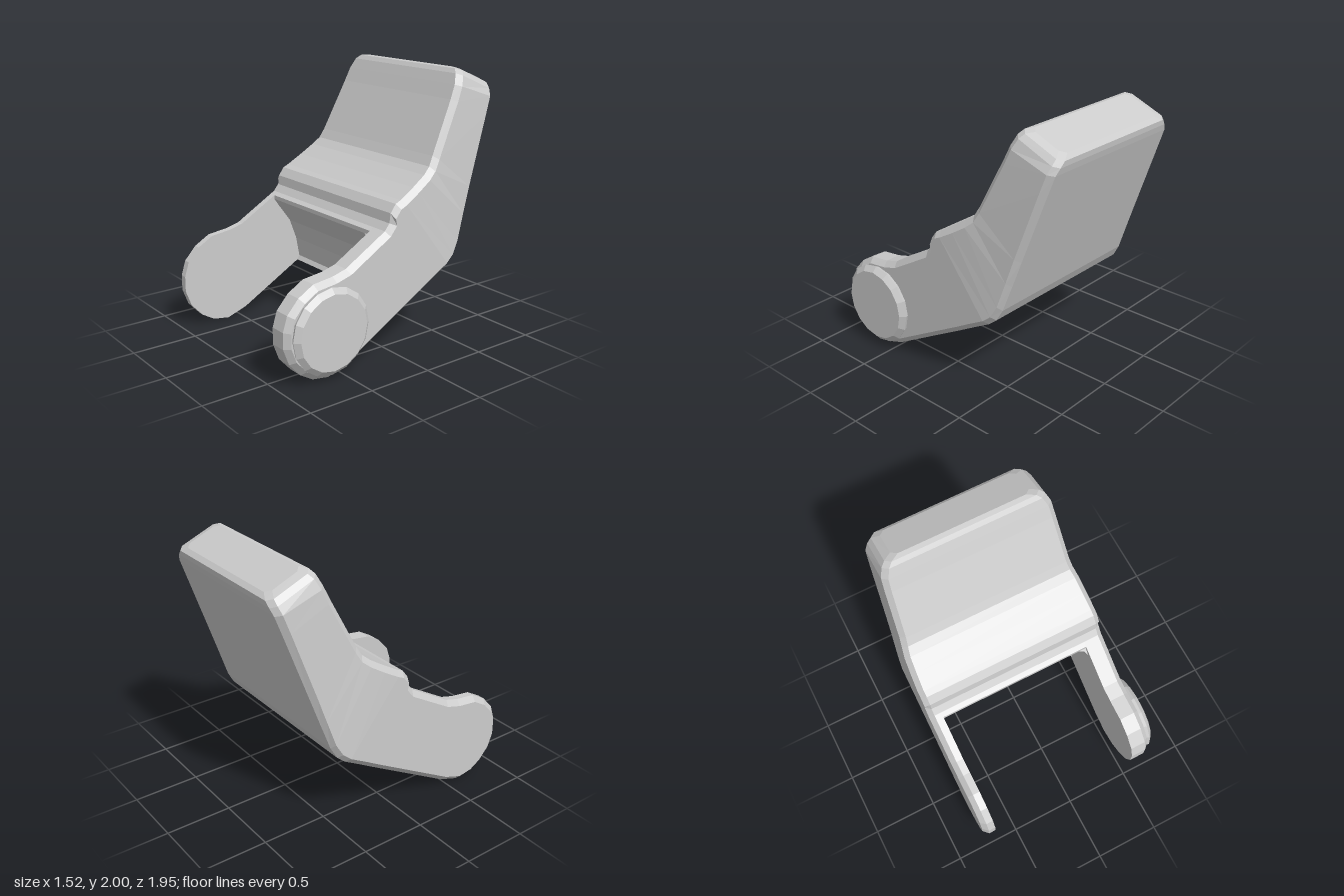
import * as THREE from 'three';

const material = new THREE.MeshStandardMaterial({ color: 0xcccccc, flatShading: true });
const CHAMFER = 0.04;
const CENTRE_X = -0.03;
const RIGHT = [-0.76, -0.665]; // thin arm: outer and inner x
const LEFT = [0.70, 0.54];     // thick arm: outer and inner x
const AXLE = [0.625, 0.36];    // z, y

// Closed solid through rings of [x, y, z]; u, v pick the axes used to fill the ends
function loft(name, rings, u, v) {
  const n = rings[0].length;
  const points = rings.flat();
  const tris = [];
  for (let r = 0; r < rings.length - 1; r++) {
    for (let j = 0; j < n; j++) {
      const a = r * n + j, b = r * n + (j + 1) % n;
      tris.push([a, b, b + n], [a, b + n, a + n]);
    }
  }
  const area = (p) => THREE.ShapeUtils.area(p);
  for (const r of [0, rings.length - 1]) {
    const flat = rings[r].map((p) => new THREE.Vector2(p[u], p[v]));
    for (const t of THREE.ShapeUtils.triangulateShape(flat, [])) {
      const same = area(t.map((i) => flat[i])) * area(flat) > 0;
      const tri = t.map((i) => i + r * n);
      tris.push(same === (r > 0) ? tri : tri.reverse());
    }
  }
  // turn the faces outward
  const V = points.map((p) => new THREE.Vector3(...p));
  let volume = 0;
  for (const [a, b, c] of tris) volume += V[a].dot(V[b].clone().cross(V[c]));
  if (volume < 0) tris.forEach((t) => t.reverse());
  const geo = new THREE.BufferGeometry();
  geo.setAttribute('position', new THREE.Float32BufferAttribute(points.flat(), 3));
  geo.setIndex(tris.flat());
  const flatGeo = geo.toNonIndexed();
  flatGeo.computeVertexNormals();
  const mesh = new THREE.Mesh(flatGeo, material);
  mesh.name = name;
  return mesh;
}

// Outline shrunk inward; its two ends slide along the joint with the panel
function inset(outline, c) {
  const last = outline.length - 1;
  return outline.map(([z, y], i) => {
    let d;
    if (i === 0 || i === last) {
      const e = outline[last - i];
      d = [e[0] - z, e[1] - y];
    } else {
      const p = outline[i - 1], q = outline[i + 1];
      d = [q[1] - p[1], p[0] - q[0]];
    }
    const l = Math.hypot(...d);
    return [z + d[0] / l * c, y + d[1] / l * c];
  });
}

const atX = (outline, x) => outline.map(([z, y]) => [x, y, z]);

export function createModel() {
  const group = new THREE.Group();

  // Bent panel: back z, y, front z, y and half width, from the top down
  const stations = [
    [-0.94, 1.89, -0.68, 2.0, 0.52],
    [-0.97, 1.86, -0.645, 1.995, 0.58],
    [-0.965, 1.82, -0.62, 1.965, 0.615],
    [-0.95, 1.77, -0.585, 1.89, 0.645],
    [-0.9, 1.63, -0.54, 1.79, 0.655],
    [-0.72, 1.12, -0.35, 1.41, 0.685],
    [-0.65, 0.92, -0.31, 1.34, 0.697],
    [-0.58, 0.72, -0.25, 1.29, 0.712],
    [-0.53, 0.63, -0.14, 1.22, 0.722],
    [-0.47, 0.58, -0.02, 1.15, 0.73],
    [-0.32, 0.495, 0.025, 1.13, 0.73],
    [-0.2, 0.425, 0.07, 1.07, 0.73],
  ];
  group.add(loft('panel', stations.map(([bz, by, tz, ty, w]) => {
    const l = Math.hypot(tz - bz, ty - by);
    const dz = (tz - bz) / l * CHAMFER, dy = (ty - by) / l * CHAMFER;
    const half = [
      [w, by + dy, bz + dz], [w, ty - dy, tz - dz], [w - CHAMFER, ty, tz],
    ];
    const ring = [[w - CHAMFER, by, bz], ...half];
    const mirrored = ring.map(([x, y, z]) => [-x, y, z]).reverse();
    return [...ring, ...mirrored].map(([x, y, z]) => [x + CENTRE_X, y, z]);
  }), 0, 1));

  // Arms: side outline with a rounded end, chamfered on the outside
  const arm = [
    [0.07, 1.07], [0.08, 1.0], [0.12, 0.95], [0.46, 0.75], [0.57, 0.72], [0.73, 0.7],
    [0.85, 0.63], [0.94, 0.53], [0.975, 0.42], [0.975, 0.3], [0.93, 0.18], [0.84, 0.08],
    [0.74, 0.02], [0.61, 0.0], [0.45, 0.055], [-0.2, 0.425],
  ];
  for (const [name, [outer, inner]] of [['rightArm', RIGHT], ['leftArm', LEFT]]) {
    const edge = outer - Math.sign(outer) * CHAMFER;
    group.add(loft(name, [
      atX(arm, inner), atX(arm, edge), atX(inset(arm, CHAMFER), outer),
    ], 2, 1));
  }

  // Hollow wall between the arms
  const hollow = [
    [0.155, 0.9], [0.11, 0.835], [0.01, 0.7], [-0.05, 0.54], [-0.08, 0.38], [-0.06, 0.346],
  ];
  const bridge = [[0.07, 1.07], [0.08, 1.0], [0.12, 0.95], [0.155, 0.93], ...hollow, [-0.2, 0.425]];
  group.add(loft('bridge', [atX(bridge, RIGHT[1]), atX(bridge, LEFT[1])], 2, 1));

  // Fillet where the thick arm meets the wall
  group.add(loft('armFillet', hollow.map(([z, y]) => {
    const dz = AXLE[0] - z, dy = AXLE[1] - y, k = 0.07 / Math.hypot(dz, dy);
    const x = LEFT[1];
    return [[x - 0.06, y, z], [x, y, z], [x, y + dy * k, z + dz * k],
      [x - 0.02, y + dy * k * 0.3, z + dz * k * 0.3]];
  }), 0, 2));

  // Hinge cap on the thick arm
  const profile = [[0, 0], [0.3, 0], [0.315, 0.035], [0.275, 0.07], [0, 0.07]];
  const cap = new THREE.Mesh(
    new THREE.LatheGeometry(profile.map((p) => new THREE.Vector2(...p)), 16), material);
  cap.name = 'hingeCap';
  cap.rotation.z = -Math.PI / 2;
  cap.position.set(0.69, AXLE[1], AXLE[0]);
  group.add(cap);

  return group;
}
